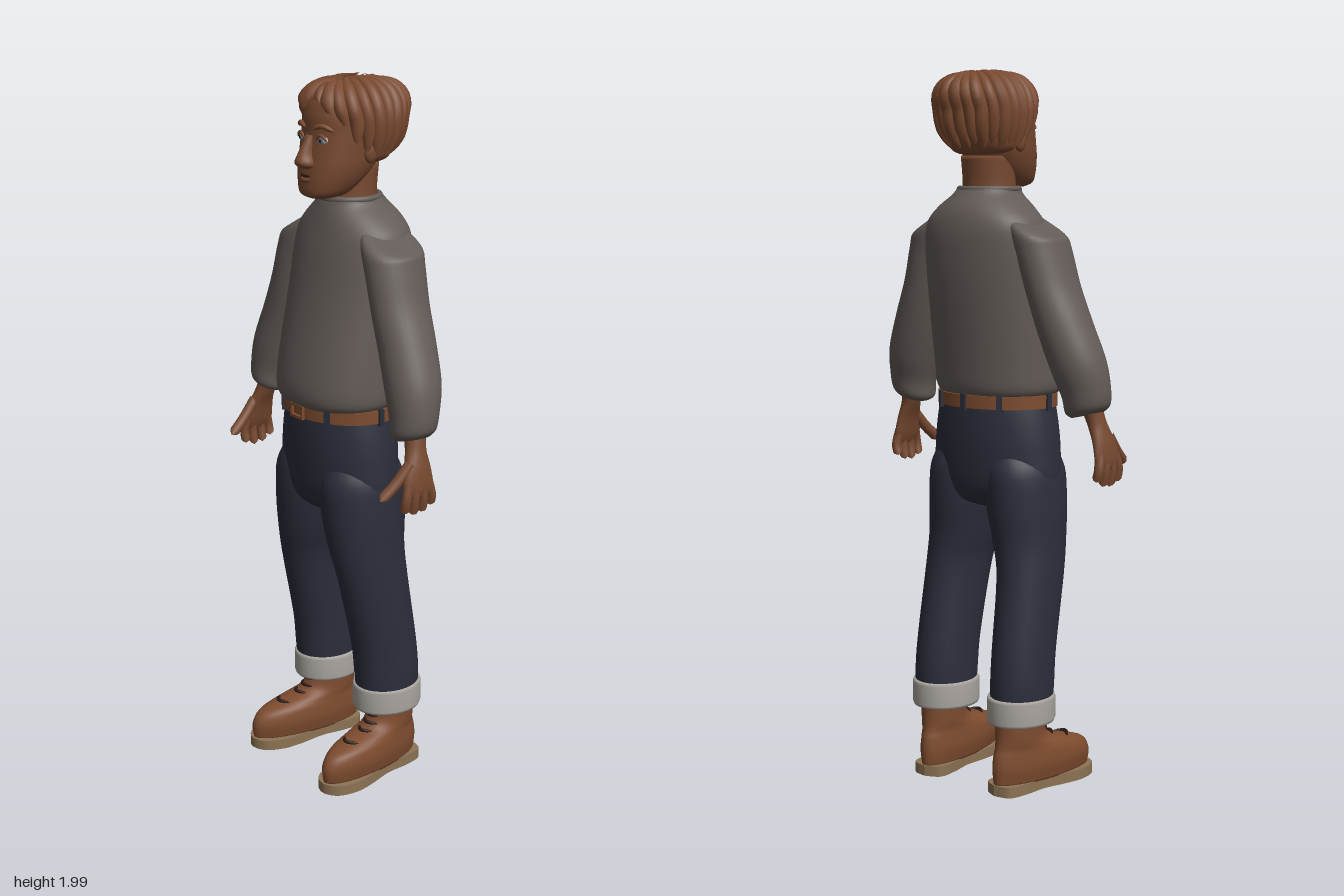
import * as THREE from 'three';

const mat = (name, color) => Object.assign(new THREE.MeshStandardMaterial({ color }), { name });
const M = {
  sweater: mat('charcoal wool', 0x635b57),
  denim: mat('navy denim', 0x2b2e3b),
  cuff: mat('pale denim lining', 0xa9a49e),
  skin: mat('skin', 0x774930),
  hair: mat('brown hair', 0x7a4a30),
  leather: mat('brown leather', 0x7e4c2f),
  sole: mat('tan rubber', 0x8c7354),
  white: mat('eye white', 0xb9bcc0),
  iris: mat('grey blue iris', 0x66788a),
  dark: mat('dark detail', 0x2a1a14),
};

function add(parent, name, geometry, material) {
  const mesh = new THREE.Mesh(geometry, material);
  mesh.name = name;
  parent.add(mesh);
  return mesh;
}

// Smooth body through rings [y, centreX, centreZ, radiusX, radiusZ, tilt], listed from low to high
function loft(rings, { side = 1, seg = 32, sub = 5, power = 2 } = {}) {
  const at = i => rings[Math.max(0, Math.min(rings.length - 1, i))];
  const rows = [];
  for (let i = 0; i < rings.length - 1; i++) {
    for (let k = 0; k < sub; k++) rows.push(blend(at(i - 1), at(i), at(i + 1), at(i + 2), k / sub));
  }
  rows.push(at(rings.length - 1));
  const pos = [], idx = [], e = 2 / power;
  const bend = v => Math.sign(v) * Math.abs(v) ** e;
  for (const [y, x, z, rx, rz, tilt = 0] of rows) {
    for (let j = 0; j < seg; j++) {
      const a = j / seg * Math.PI * 2, u = rx * bend(Math.cos(a)), t = tilt * side;
      pos.push(x * side + u * Math.cos(t), y + u * Math.sin(t), z + rz * bend(Math.sin(a)));
    }
  }
  const n = rows.length, low = n * seg, high = low + 1;
  for (const r of [rows[0], rows[n - 1]]) pos.push(r[1] * side, r[0], r[2]);
  for (let j = 0; j < seg; j++) {
    const k = (j + 1) % seg;
    for (let i = 0; i < n - 1; i++) {
      const a = i * seg + j, b = i * seg + k;
      idx.push(a, a + seg, b, b, a + seg, b + seg);
    }
    idx.push(low, j, k, high, (n - 1) * seg + k, (n - 1) * seg + j);
  }
  const g = new THREE.BufferGeometry();
  g.setAttribute('position', new THREE.Float32BufferAttribute(pos, 3));
  g.setIndex(idx);
  g.computeVertexNormals();
  return g;
}

function blend(a, b, c, d, t) {
  return b.map((p, i) => {
    const [q0, q2, q3] = [a[i] ?? 0, c[i] ?? 0, d[i] ?? 0];
    return p + 0.5 * t * (q2 - q0 + t * (2 * q0 - 5 * p + 4 * q2 - q3 + t * (3 * (p - q2) + q3 - q0)));
  });
}

// Tube along points whose thickness follows taper(0..1)
function strand(points, radius, taper = t => Math.min(1, Math.sqrt(Math.sin(Math.PI * t)) * 1.2), steps = 14) {
  const path = new THREE.CatmullRomCurve3(points.map(p => new THREE.Vector3(...p)));
  const g = new THREE.TubeGeometry(path, steps, radius, 10);
  const p = g.attributes.position, v = new THREE.Vector3();
  for (let i = 0; i < p.count; i++) {
    const t = Math.floor(i / 11) / steps, c = path.getPointAt(t);
    v.fromBufferAttribute(p, i).sub(c).multiplyScalar(Math.max(0, taper(t))).add(c);
    p.setXYZ(i, v.x, v.y, v.z);
  }
  return g;
}

function buildHead(g) {
  add(g, 'neck', loft([[1.62, 0, -0.035, 0.08, 0.078], [1.68, 0, -0.035, 0.074, 0.072], [1.76, 0, -0.04, 0.075, 0.075]]), M.skin);
  add(g, 'head', loft([[1.676, 0, 0.06, 0.03, 0.035], [1.688, 0, 0.052, 0.06, 0.064], [1.72, 0, 0.03, 0.081, 0.088],
    [1.76, 0, 0.01, 0.095, 0.104], [1.8, 0, -0.005, 0.101, 0.112], [1.85, 0, -0.02, 0.105, 0.119],
    [1.9, 0, -0.03, 0.105, 0.124], [1.95, 0, -0.04, 0.088, 0.105], [1.98, 0, -0.045, 0.02, 0.03]], { power: 2.2 }), M.skin);
  add(g, 'nose', loft([[1.757, 0, 0.108, 0.012, 0.012], [1.764, 0, 0.11, 0.026, 0.026], [1.776, 0, 0.112, 0.028, 0.032],
    [1.8, 0, 0.108, 0.018, 0.027], [1.845, 0, 0.094, 0.013, 0.016]], { seg: 18 }), M.skin);
  add(g, 'mouth', strand([[-0.042, 1.742, 0.1], [0, 1.738, 0.116], [0.042, 1.742, 0.1]], 0.004), M.dark);
  add(g, 'lowerLip', strand([[-0.032, 1.731, 0.102], [0, 1.727, 0.115], [0.032, 1.731, 0.102]], 0.008), M.skin);
  for (const s of [-1, 1]) {
    const eye = new THREE.Group();
    eye.name = 'eye';
    eye.position.set(s * 0.042, 1.835, 0.086);
    eye.rotation.y = s * 0.2;
    add(eye, 'eyeball', new THREE.SphereGeometry(0.018, 18, 12).scale(1, 0.62, 0.7), M.white);
    add(eye, 'iris', new THREE.SphereGeometry(0.009, 14, 10).scale(1, 1, 0.4), M.iris).position.z = 0.0105;
    add(eye, 'pupil', new THREE.SphereGeometry(0.0045, 10, 8).scale(1, 1, 0.4), M.dark).position.z = 0.0135;
    add(eye, 'upperLid', strand([[-0.02, -0.002, 0.008], [0, 0.013, 0.011], [0.02, -0.002, 0.008]], 0.0045), M.skin);
    g.add(eye);
    add(g, 'eyebrow', strand([[s * 0.018, 1.863, 0.101], [s * 0.045, 1.872, 0.094], [s * 0.074, 1.86, 0.076]], 0.007), M.hair);
    add(g, 'ear', new THREE.SphereGeometry(0.03, 14, 10).scale(0.4, 1, 0.7), M.skin).position.set(s * 0.102, 1.8, -0.025);
  }
}

function buildHair(g) {
  add(g, 'hairBase', loft([[1.765, 0, -0.06, 0.07, 0.06], [1.78, 0, -0.06, 0.096, 0.08], [1.83, 0, -0.062, 0.108, 0.108],
    [1.9, 0, -0.055, 0.115, 0.125], [1.95, 0, -0.05, 0.095, 0.11], [1.983, 0, -0.05, 0.03, 0.05]]), M.hair);
  // Locks sweep from the centre parting out over the skull, then hang
  const locks = [[12, -0.62], [28, -0.25], [43, 0.15], [57, 0.6], [71, 0.85], [85, 1], [99, 0.95], [113, 1.05], [128, 0.95], [143, 1.05], [158, 0.95], [173, 1.05]];
  for (const s of [-1, 1]) {
    locks.forEach(([deg, drop], n) => {
      const phi = deg * Math.PI / 180, part = 0.065 * Math.cos(phi), pts = [];
      for (let k = 0; k <= 7; k++) {
        const ang = 0.06 + k / 7 * (Math.PI / 2 + drop - 0.06), hang = Math.max(0, ang - Math.PI / 2);
        const r = hang ? 1 - (0.2 - 0.13 * Math.cos(phi)) * hang * hang : Math.sin(ang);
        const c = hang ? 0 : Math.cos(ang);
        const y = hang ? -hang : c * Math.sqrt(1 - (part / 0.13) ** 2);
        pts.push([s * (0.006 + r * 0.113 * Math.sin(phi)), 1.881 + 0.1 * y, -0.05 + r * 0.127 * Math.cos(phi) + part * c]);
      }
      add(g, 'hairLock', strand(pts, n % 2 ? 0.021 : 0.0185, t => Math.min(1, 0.55 + t * 1.4, Math.sqrt((1 - t) * 4)), 20), M.hair);
    });
  }
}

function buildArm(g, s) {
  const o = { side: s };
  add(g, 'sleeve', loft([[1.068, 0.32, 0, 0.045, 0.045, 0.25], [1.085, 0.32, 0, 0.063, 0.062, 0.25], [1.13, 0.318, -0.005, 0.068, 0.068, 0.25],
    [1.2, 0.3, -0.015, 0.075, 0.078, 0.3], [1.3, 0.262, -0.025, 0.072, 0.082, 0.35], [1.4, 0.225, -0.03, 0.066, 0.086, 0.3],
    [1.5, 0.195, -0.035, 0.066, 0.09, 0.2], [1.56, 0.17, -0.04, 0.072, 0.088, -0.2], [1.605, 0.125, -0.045, 0.05, 0.06, -0.5]], o), M.sweater);
  add(g, 'palm', loft([[0.925, 0.373, 0.022, 0.01, 0.04], [0.95, 0.37, 0.022, 0.017, 0.05], [1, 0.36, 0.018, 0.021, 0.042],
    [1.05, 0.342, 0.01, 0.026, 0.03], [1.1, 0.328, 0, 0.03, 0.032]], { side: s, seg: 20 }), M.skin);
  const round = t => Math.min(1, Math.sqrt((1 - t) * 8));
  [[0.066, 0.882], [0.037, 0.872], [0.008, 0.875], [-0.02, 0.89]].forEach(([z, tip]) =>
    add(g, 'finger', strand([[s * 0.37, 0.965, 0.02 + (z - 0.02) * 0.75], [s * 0.374, 0.92, z], [s * 0.366, tip, z]], 0.0135, round), M.skin));
  add(g, 'thumb', strand([[s * 0.358, 1.015, 0.04], [s * 0.352, 0.965, 0.085], [s * 0.345, 0.925, 0.132]], 0.0155, round), M.skin);
}

function buildLeg(g, s) {
  add(g, 'trouserLeg', loft([[0.22, 0.142, -0.063, 0.08, 0.094], [0.3, 0.142, -0.06, 0.083, 0.098], [0.4, 0.14, -0.05, 0.082, 0.1],
    [0.6, 0.133, -0.015, 0.084, 0.107], [0.7, 0.119, -0.002, 0.094, 0.115], [0.8, 0.107, 0, 0.103, 0.126],
    [0.9, 0.1, 0, 0.1, 0.127], [0.97, 0.085, 0, 0.08, 0.1]], { side: s }), M.denim);
  const profile = [[0.8, 0.21], [0.8, 0.2], [0.97, 0.198], [1, 0.206], [1, 0.264], [0.97, 0.272], [0.85, 0.272]];
  const cuff = new THREE.LatheGeometry(profile.map(p => new THREE.Vector2(...p)), 36).scale(0.09, 1, 0.104);
  add(g, 'trouserCuff', cuff, M.cuff).position.set(s * 0.141, 0, -0.063);

  const boot = new THREE.Group();
  boot.name = 'boot';
  boot.position.set(s * 0.145, 0, -0.06);
  boot.rotation.y = s * 0.12;
  const outline = new THREE.Shape();
  const half = [[0.045, -0.09], [0.052, -0.03], [0.048, 0.04], [0.06, 0.12], [0.062, 0.18], [0.042, 0.235]];
  outline.moveTo(0, -0.11);
  outline.splineThru([...half, [0, 0.256], ...half.map(([x, z]) => [-x, z]).reverse(), [0, -0.11]].map(p => new THREE.Vector2(...p)));
  const sole = new THREE.ExtrudeGeometry(outline, { depth: 0.03, bevelEnabled: false, curveSegments: 40 });
  add(boot, 'bootSole', sole.rotateX(Math.PI / 2).translate(0, 0.03, 0), M.sole);
  add(boot, 'bootUpper', loft([[0.028, 0, 0.072, 0.055, 0.177], [0.07, 0, 0.072, 0.063, 0.18], [0.105, 0, 0.062, 0.061, 0.166],
    [0.126, 0, 0.035, 0.057, 0.132], [0.147, 0, 0, 0.055, 0.093], [0.18, 0, -0.012, 0.055, 0.08], [0.24, 0, -0.012, 0.056, 0.082]]), M.leather);
  for (const [y, z] of [[0.128, 0.163], [0.143, 0.102], [0.16, 0.079], [0.18, 0.068]]) {
    add(boot, 'lace', strand([[-0.03, y - 0.002, z - 0.02], [0, y + 0.003, z + 0.003], [0.03, y - 0.002, z - 0.02]], 0.005), M.dark);
  }
  g.add(boot);
}

function buildBelt(g) {
  add(g, 'belt', new THREE.CylinderGeometry(1, 1, 0.036, 48).scale(0.183, 1, 0.143), M.leather).position.y = 1.092;
  for (const deg of [33, 90, 145, 180, 215, 270, 327]) {
    const a = deg * Math.PI / 180;
    const loop = add(g, 'beltLoop', new THREE.BoxGeometry(0.016, 0.046, 0.01), M.denim);
    loop.position.set(0.184 * Math.sin(a), 1.09, 0.144 * Math.cos(a));
    loop.rotation.y = a;
  }
  const frame = new THREE.Shape([[-0.028, -0.02], [0.028, -0.02], [0.028, 0.02], [-0.028, 0.02]].map(p => new THREE.Vector2(...p)));
  frame.holes.push(new THREE.Path([[-0.02, -0.012], [-0.02, 0.012], [0.02, 0.012], [0.02, -0.012]].map(p => new THREE.Vector2(...p))));
  add(g, 'buckle', new THREE.ExtrudeGeometry(frame, { depth: 0.009, bevelEnabled: false }), M.leather).position.set(0, 1.092, 0.143);
}

export function createModel() {
  const g = new THREE.Group();
  g.name = 'standingMan';
  buildHead(g);
  buildHair(g);
  add(g, 'sweaterBody', loft([[1.102, 0, 0.005, 0.16, 0.13], [1.125, 0, 0.008, 0.184, 0.15], [1.2, 0, 0.002, 0.188, 0.154],
    [1.4, 0, -0.03, 0.188, 0.145], [1.52, 0, -0.045, 0.188, 0.136], [1.58, 0, -0.05, 0.178, 0.126],
    [1.62, 0, -0.048, 0.142, 0.114], [1.655, 0, -0.04, 0.096, 0.096], [1.675, 0, -0.035, 0.085, 0.084]], { power: 2.15, seg: 48 }), M.sweater);
  add(g, 'collar', new THREE.TorusGeometry(0.081, 0.009, 10, 36).rotateX(Math.PI / 2), M.sweater).position.set(0, 1.67, -0.035);
  add(g, 'trouserSeat', loft([[0.79, 0, 0, 0.05, 0.06], [0.81, 0, 0, 0.14, 0.105], [0.86, 0, 0, 0.2, 0.128],
    [0.95, 0, 0, 0.2, 0.136], [1.03, 0, 0, 0.19, 0.136], [1.1, 0, 0, 0.175, 0.132]], { seg: 48 }), M.denim);
  buildBelt(g);
  for (const s of [-1, 1]) {
    buildArm(g, s);
    buildLeg(g, s);
  }
  return g;
}
